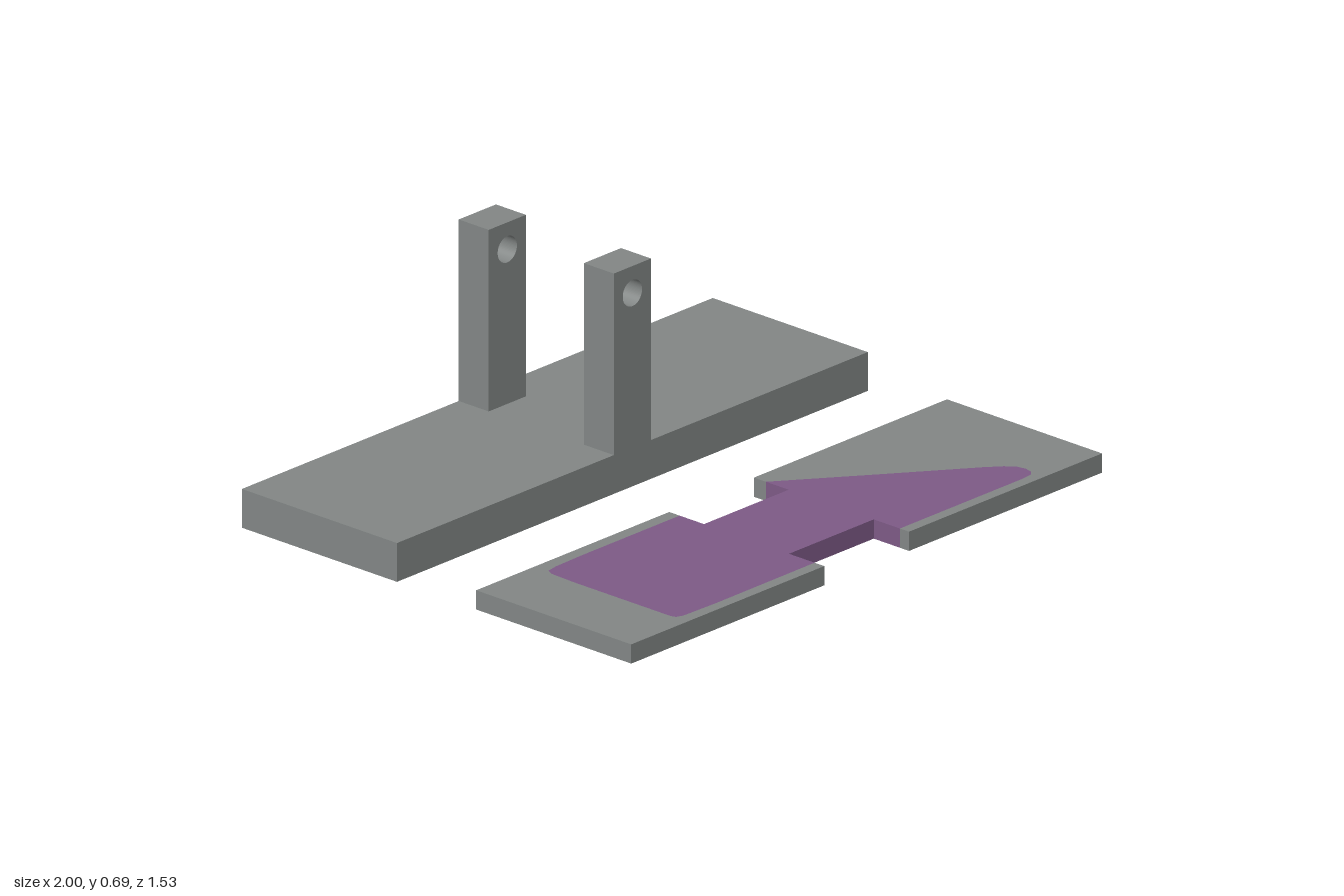
import * as THREE from 'three';

const grey = new THREE.MeshStandardMaterial({ color: 0x828685 });
grey.name = 'grey';
const purple = new THREE.MeshStandardMaterial({ color: 0x7d5a86 });
purple.name = 'purple';

const FAR = 0.767, NEAR = 0.156;      // outer and inner z of both slabs
const BASE_H = 0.121, PLATE_H = 0.06, POST_TOP = 0.687;
const NECK = 0.18, NECK_Z0 = 0.293, NECK_Z1 = 0.628;

// Inlay outlines from the notch's back edge to its front edge, as [x, z]
const leftEdge = [
  [-NECK, 0.197], [-0.6, 0.197], [-0.71, 0.2], [-0.748, 0.207], [-0.759, 0.228],
  [-0.763, 0.32], [-0.763, 0.7], [-0.758, 0.718], [-0.735, 0.727], [-0.6, 0.731], [-NECK, 0.729],
];
const rightEdge = [
  [NECK, 0.203], [0.45, 0.408], [0.69, 0.588], [0.735, 0.626], [0.758, 0.655],
  [0.764, 0.685], [0.758, 0.712], [0.74, 0.727], [0.7, 0.731], [NECK, 0.731],
];

// Extrudes an [x, z] outline upwards from y = 0
function slab(name, points, height, material) {
  const shape = new THREE.Shape(points.map(([x, z]) => new THREE.Vector2(x, -z)));
  const geometry = new THREE.ExtrudeGeometry(shape, { depth: height, bevelEnabled: false });
  geometry.rotateX(-Math.PI / 2);
  const mesh = new THREE.Mesh(geometry, material);
  mesh.name = name;
  return mesh;
}

// Plate end that wraps around the inlay outline
function plateEnd(name, side, edge) {
  const outer = [[side * NECK, FAR], [side, FAR], [side, NEAR], [side * NECK, NEAR]];
  return slab(name, [...outer, ...edge], PLATE_H, grey);
}

// Upright with a round hole through it along z
function post(name, backZ) {
  const w = 0.079;
  const shape = new THREE.Shape([
    new THREE.Vector2(-w, BASE_H), new THREE.Vector2(w, BASE_H),
    new THREE.Vector2(w, POST_TOP), new THREE.Vector2(-w, POST_TOP),
  ]);
  const hole = new THREE.Path();
  hole.absarc(0, 0.603, 0.041, 0, Math.PI * 2, true);
  shape.holes.push(hole);
  const geometry = new THREE.ExtrudeGeometry(shape, { depth: 0.118, bevelEnabled: false, curveSegments: 32 });
  const mesh = new THREE.Mesh(geometry, grey);
  mesh.position.z = backZ;
  mesh.name = name;
  return mesh;
}

export function createModel() {
  const model = new THREE.Group();
  model.name = 'baseAndPlate';

  // Base with two uprights
  model.add(slab('base', [[-1, -NEAR], [1, -NEAR], [1, -FAR], [-1, -FAR]], BASE_H, grey));
  model.add(post('frontPost', -NEAR - 0.118), post('backPost', -FAR));

  // Notched plate with an inlay running through its full thickness
  model.add(plateEnd('plateRightEnd', -1, leftEdge), plateEnd('plateLeftEnd', 1, rightEdge));
  const inlay = [
    ...leftEdge, [-NECK, NECK_Z1], [NECK, NECK_Z1],
    ...[...rightEdge].reverse(), [NECK, NECK_Z0], [-NECK, NECK_Z0],
  ];
  model.add(slab('inlay', inlay, PLATE_H, purple));

  return model;
}
